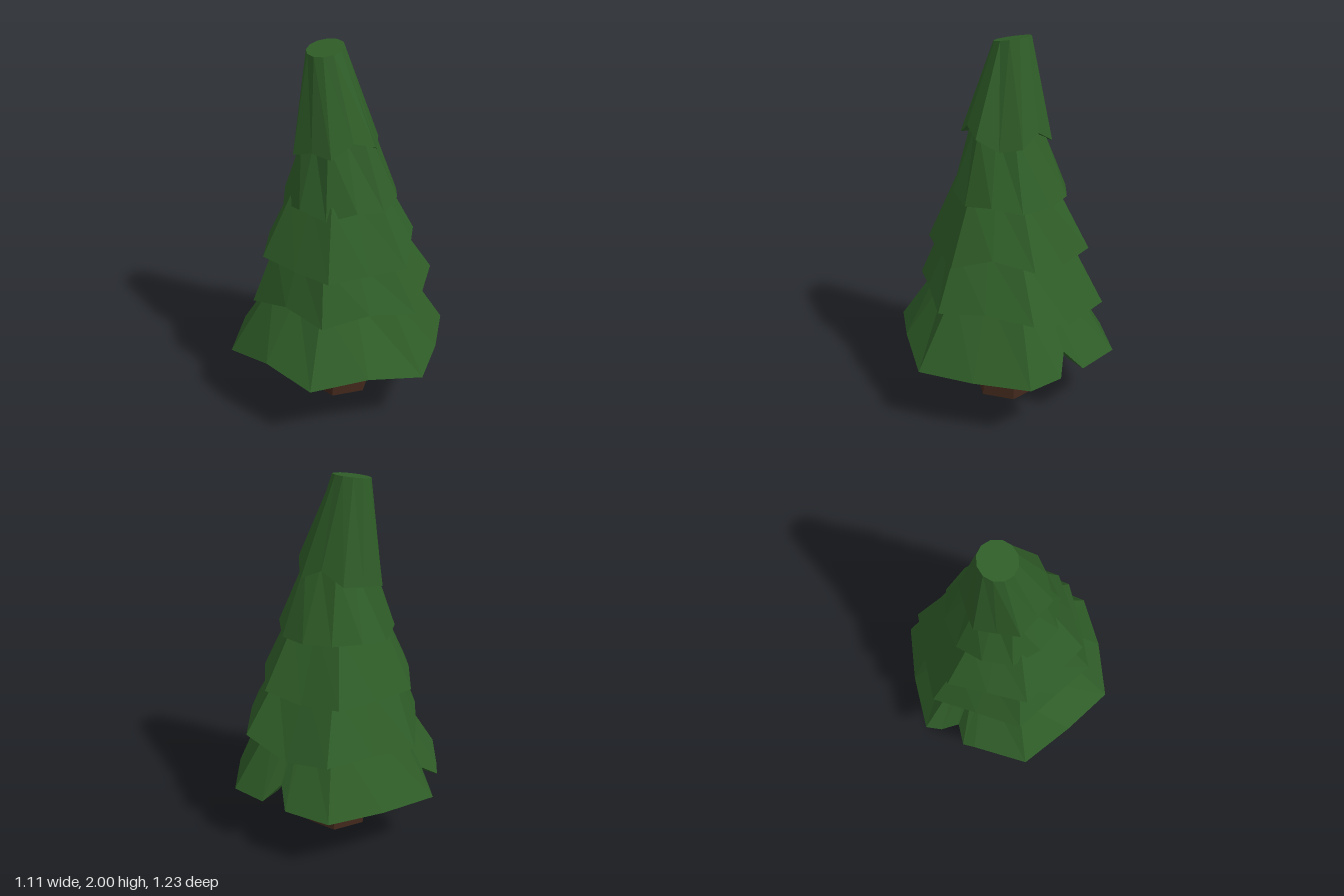
import * as THREE from 'three';

// Foliage tiers: hexagons with corner radius r about (x, z), turned by twist degrees.
// mid: radius factor halfway between corners; lifts: rim heights above y, in hundredths,
// every 30 degrees clockwise from the back. top: [x, y, z, radius]; under: [scale, lift].
const LOWEST = {
  x: 0, z: 0, r: 0.613, twist: 0, mid: 0.9, y: 0.32,
  lifts: [0, 0, 0, 0, 0, 0, 0, 6, 3, 7, 0, 2],
  notches: [[93, 10], [345, 7]], // angle, height in hundredths
  top: [0, 0.72, 0, 0.36], under: [[0.68, 0.13], [0.8, 0.02]],
};
const SECOND = {
  x: 0.04, z: 0, r: 0.512, twist: -1, mid: 0.875, y: 0.57,
  lifts: [3, 5, 4, 0, 8, 11, 8, 12, 8, 11, 4, 6],
  top: [0, 0.95, 0, 0.35], under: [[0.75, 0.01]],
};
const THIRD = {
  x: 0.015, z: -0.005, r: 0.437, twist: -6, mid: 0.88, y: 0.87,
  lifts: [3, 2, 2, 0, 3, 8, 1.5, 2, 1.5, 2, 3, 6],
  top: [0, 1.24, 0, 0.265], under: [[0.75, 0.01]],
};
const FOURTH = {
  x: 0.025, z: -0.01, r: 0.31, twist: 0, mid: 0.98, y: 1.165,
  lifts: [0, 2.5, 2.5, 1.5, 0.5, 3.5, 1.5, 4.5, 0.5, 3.5, 0.5, 2.5],
  top: [0, 1.55, -0.01, 0.19], under: [[0.75, 0.01]],
};
const CROWN = {
  x: -0.005, z: -0.012, r: 0.24, twist: -8, mid: 0.88, y: 1.43,
  lifts: [0, 2, 4, 11, 5, 3, 9, 13, 6, 7, 3, 2],
  top: [-0.02, 1.98, -0.07, 0.098], tilt: 0.2, under: [[0.78, 0.01]],
};

// Point at an angle in degrees, clockwise from the back
function polar(x, y, z, radius, deg) {
  const a = THREE.MathUtils.degToRad(deg);
  return [x + radius * Math.sin(a), y, z - radius * Math.cos(a)];
}

// Inner underside, ragged rim and top ring of one tier, bottom to top
function tierRings({ x, z, r, twist, mid, y, lifts, notches = [], top, tilt, under }) {
  let rim = lifts.map((lift, i) => ({ deg: i * 30, f: i % 2 ? mid : 1, lift }));
  for (const [deg, height] of notches) {
    rim = rim.filter((p) => Math.abs(p.deg - deg) > 8);
    rim.push({ deg: deg - 8, f: 0.91, lift: 0 }, { deg, f: 0.79, lift: height }, { deg: deg + 8, f: 0.91, lift: 0 });
  }
  rim.sort((a, b) => a.deg - b.deg);
  const ring = (scale, raise) =>
    rim.map(({ deg, f, lift }) => polar(x, y + raise + lift / 100, z, r * f * scale, deg + twist));
  const [tx, ty, tz, tr] = top;
  const upper = rim.map(({ deg }) => {
    // The crown ends in a round, tilted cut; the others stay hexagonal
    const fromMiddle = THREE.MathUtils.degToRad((deg % 60) - 30);
    const radius = tilt ? tr : tr * Math.cos(Math.PI / 6) / Math.cos(fromMiddle);
    const p = polar(tx, ty, tz, radius, deg + twist);
    if (tilt) p[1] += tilt * (p[0] - tx);
    return p;
  });
  return [...under.map(([scale, raise]) => ring(scale, raise)), ring(1, 0), upper];
}

// Skin a stack of rings and cap both ends
function loft(rings) {
  const pos = [];
  const tri = (...corners) => corners.forEach((p) => pos.push(...p));
  const centre = (ring) => [0, 1, 2].map((k) => ring.reduce((s, p) => s + p[k], 0) / ring.length);
  const first = rings[0], last = rings[rings.length - 1];
  const bottom = centre(first), top = centre(last);
  for (let i = 0; i < first.length; i++) {
    const j = (i + 1) % first.length;
    for (let k = 0; k < rings.length - 1; k++) {
      const lo = rings[k], hi = rings[k + 1];
      tri(lo[i], hi[i], hi[j]);
      tri(lo[i], hi[j], lo[j]);
    }
    tri(bottom, first[i], first[j]);
    tri(top, last[j], last[i]);
  }
  const geo = new THREE.BufferGeometry();
  geo.setAttribute('position', new THREE.Float32BufferAttribute(pos, 3));
  geo.computeVertexNormals();
  return geo;
}

export function createModel() {
  const tree = new THREE.Group();
  tree.name = 'pineTree';
  const needles = new THREE.MeshStandardMaterial({ color: 0x2f5d28, flatShading: true });
  const bark = new THREE.MeshStandardMaterial({ color: 0x42281c, flatShading: true });

  // Tapered six-sided trunk, running up inside the lowest tier
  const trunk = new THREE.Mesh(new THREE.CylinderGeometry(0.142, 0.178, 0.56, 6), bark);
  trunk.name = 'trunk';
  trunk.position.set(0.012, 0.28, 0);
  tree.add(trunk);

  // Foliage from the ground up
  [LOWEST, SECOND, THIRD, FOURTH, CROWN].forEach((tier, i) => {
    const mesh = new THREE.Mesh(loft(tierRings(tier)), needles);
    mesh.name = `foliageTier${i + 1}`;
    tree.add(mesh);
  });
  return tree;
}
